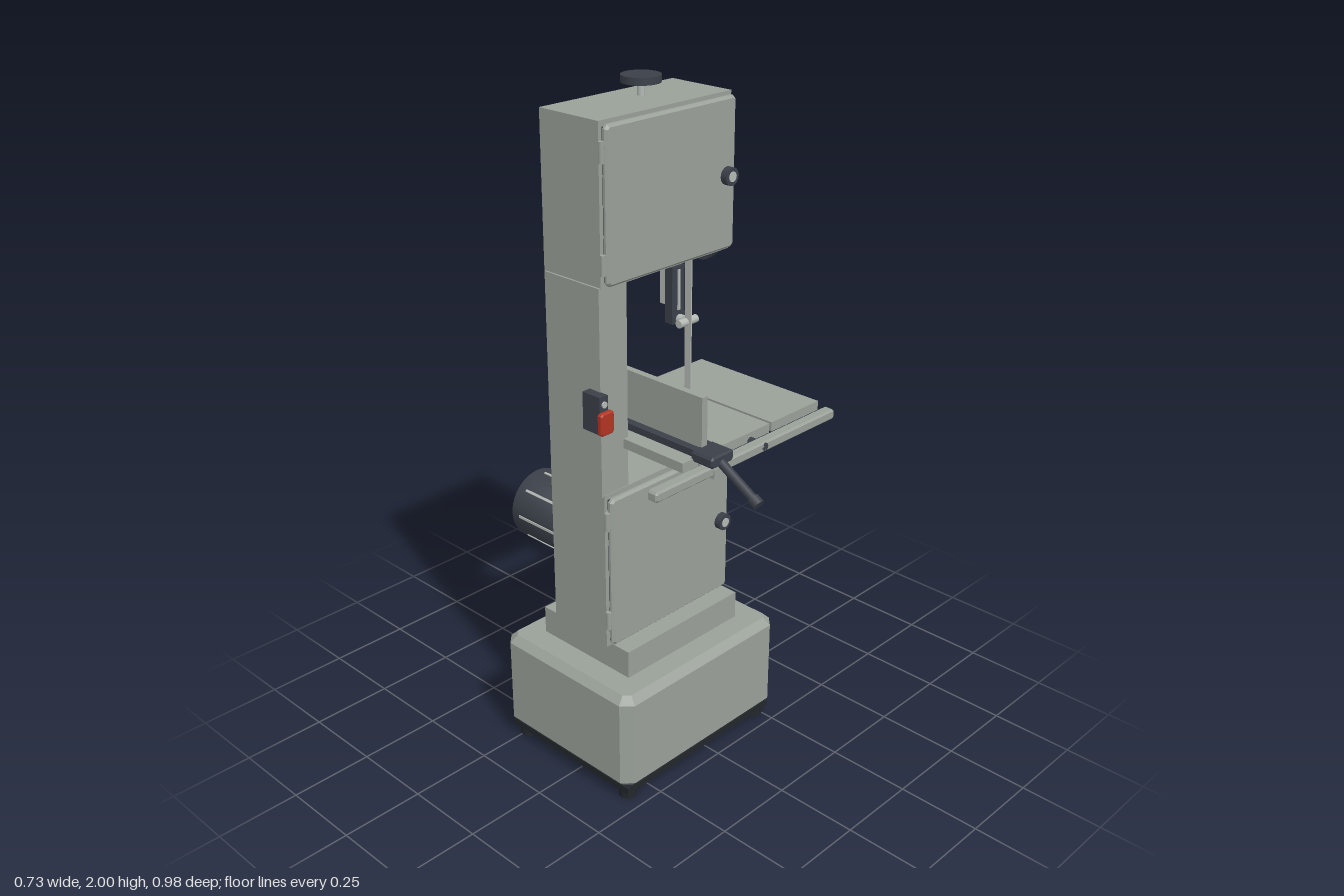
import * as THREE from 'three';

const mat = (name, color, side = THREE.FrontSide) => {
  const m = new THREE.MeshStandardMaterial({ color, side });
  m.name = name;
  return m;
};

export function createModel() {
  const root = new THREE.Group();
  root.name = 'bandSaw';
  const grey = mat('greyPaint', 0x9aa199);
  const dark = mat('darkPlastic', 0x3b4049);
  const black = mat('blackRubber', 0x23272b);
  const steel = mat('paleSteel', 0xb4b9b4);
  const red = mat('switchRed', 0xb23424);
  const darkOpen = mat('darkHose', 0x3b4049, THREE.DoubleSide);

  const add = (name, geo, m, x = 0, y = 0, z = 0) => {
    const mesh = new THREE.Mesh(geo, m);
    mesh.name = name;
    mesh.position.set(x, y, z);
    root.add(mesh);
    return mesh;
  };
  // box given by its limits on each axis
  const box = (name, m, [x0, x1], [y0, y1], [z0, z1]) =>
    add(name, new THREE.BoxGeometry(x1 - x0, y1 - y0, z1 - z0), m, (x0 + x1) / 2, (y0 + y1) / 2, (z0 + z1) / 2);
  // cylinder along an axis, centred on a point
  const cyl = (name, m, axis, r, len, x, y, z, sides = 32) => {
    const g = new THREE.CylinderGeometry(r, r, len, sides);
    if (axis === 'x') g.rotateZ(-Math.PI / 2);
    if (axis === 'z') g.rotateX(Math.PI / 2);
    return add(name, g, m, x, y, z);
  };
  // rectangle with cut corners
  const cutRect = (w, h, c) => new THREE.Shape([
    [-w + c, -h], [w - c, -h], [w, -h + c], [w, h - c], [w - c, h], [-w + c, h], [-w, h - c], [-w, -h + c],
  ].map(([x, y]) => new THREE.Vector2(x, y)));
  // chamfered slab extruded along z, or along y when upright
  const slab = (name, m, [x0, x1], [y0, y1], [z0, z1], bevel, cut, upright = false) => {
    const d = upright ? y1 - y0 : z1 - z0;
    const h = (upright ? z1 - z0 : y1 - y0) / 2;
    const g = new THREE.ExtrudeGeometry(cutRect((x1 - x0) / 2 - bevel, h - bevel, cut), {
      depth: d - 2 * bevel, bevelEnabled: true, bevelThickness: bevel, bevelSize: bevel, bevelSegments: 1,
    });
    g.translate(0, 0, bevel - d / 2);
    if (upright) g.rotateX(-Math.PI / 2);
    return add(name, g, m, (x0 + x1) / 2, (y0 + y1) / 2, (z0 + z1) / 2);
  };

  // base, feet and plinth
  slab('base', grey, [-0.365, 0.28], [0.045, 0.355], [-0.295, 0.23], 0.022, 0.018, true);
  box('basePlate', black, [-0.35, 0.265], [0.025, 0.046], [-0.28, 0.215]);
  for (const x of [-0.32, 0.235]) for (const z of [-0.245, 0.185]) cyl('foot', black, 'y', 0.027, 0.03, x, 0.015, z, 20);
  box('plinth', grey, [-0.27, 0.187], [0.35, 0.44], [-0.21, 0.142]);

  // cabinets with doors, knobs and hinges
  for (const [y0, y1, knobY, hinges] of [
    [0.435, 0.92, 0.682, [0.53, 0.845]],
    [1.51, 1.945, 1.727, [1.58, 1.87]],
  ]) {
    box('cabinet', grey, [-0.287, 0.2], [y0, y1], [-0.142, 0.072]);
    slab('door', grey, [-0.283, 0.197], [y0 + 0.01, y1 - 0.008], [0.075, 0.096], 0.007, 0.006);
    box('doorSeal', dark, [-0.275, 0.19], [y0 + 0.018, y1 - 0.016], [0.07, 0.077]);
    cyl('doorKnob', dark, 'z', 0.025, 0.02, 0.16, knobY, 0.108);
    cyl('knobCentre', steel, 'z', 0.014, 0.003, 0.16, knobY, 0.119);
    for (const y of hinges) cyl('hinge', grey, 'y', 0.008, 0.055, -0.289, y, 0.084, 12);
  }
  box('column', grey, [-0.293, -0.193], [0.915, 1.515], [-0.135, 0.07]);

  // tension wheel on top
  cyl('tensionScrew', steel, 'y', 0.01, 0.045, -0.011, 1.962, -0.054, 16);
  cyl('tensionWheel', dark, 'y', 0.054, 0.02, -0.011, 1.99, -0.054);

  // table, slotted from the blade to the front edge
  const top = new THREE.Shape([
    [-0.21, -0.29], [0.14, -0.29], [0.14, 0.035], [0.15, 0.035], [0.15, -0.29],
    [0.355, -0.29], [0.355, 0.163], [-0.21, 0.163],
  ].map(([x, y]) => new THREE.Vector2(x, y)));
  const tableGeo = new THREE.ExtrudeGeometry(top, { depth: 0.028, bevelEnabled: false });
  tableGeo.rotateX(-Math.PI / 2);
  add('table', tableGeo, grey, 0, 1.038, 0);
  slab('fenceRail', grey, [-0.365, 0.363], [1.025, 1.055], [0.31, 0.345], 0.005, 0.003);
  cyl('railBolt', dark, 'z', 0.012, 0.06, 0.06, 1.04, 0.315, 16);

  // fence with its clamp and lever
  box('fencePlate', grey, [-0.137, -0.116], [1.075, 1.23], [-0.137, 0.29]);
  for (const x of [-0.143, -0.108]) box('fenceBar', dark, [x - 0.018, x + 0.018], [1.066, 1.086], [-0.137, 0.3]);
  slab('fenceHead', dark, [-0.17, -0.083], [1.055, 1.088], [0.28, 0.357], 0.005, 0.004);
  box('fenceClamp', grey, [-0.15, -0.105], [1.018, 1.045], [0.25, 0.348]);
  const lever = new THREE.Group();
  lever.name = 'clampLever';
  const stem = new THREE.Mesh(new THREE.CylinderGeometry(0.013, 0.013, 0.15, 16), dark);
  stem.name = 'leverStem';
  const grip = new THREE.Mesh(new THREE.CylinderGeometry(0.017, 0.017, 0.025, 16), dark);
  grip.name = 'leverEnd';
  grip.position.y = 0.07;
  lever.add(stem, grip);
  lever.position.set(-0.127, 1.025, 0.413);
  lever.rotation.x = Math.PI / 2 + 0.53;
  root.add(lever);

  // trunnion carrying the table
  box('trunnionBar', dark, [-0.195, 0.12], [0.93, 0.962], [-0.152, -0.1]);
  for (const x of [-0.14, 0.057]) {
    box('trunnionPost', dark, [x - 0.02, x + 0.02], [0.95, 1.02], [-0.135, -0.057]);
    box('trunnionCap', dark, [x - 0.012, x + 0.012], [1.015, 1.04], [-0.135, -0.057]);
  }

  // blade with lower and upper guides
  box('blade', steel, [0.143, 0.147], [0.915, 1.515], [-0.036, -0.012]);
  const guide = (y) => {
    for (const s of [-1, 1]) cyl('guideBearing', steel, 'x', 0.012, 0.03, 0.145 + s * 0.021, y, -0.028, 16);
    cyl('backBearing', steel, 'z', 0.014, 0.025, 0.145, y, -0.053, 16);
    box('guideBlock', dark, [0.118, 0.172], [y - 0.012, y + 0.016], [-0.09, -0.06]);
  };
  guide(1.008);
  guide(1.282);
  box('lowerGuideArm', dark, [0.06, 0.145], [0.995, 1.02], [-0.1, -0.075]);
  box('guidePost', dark, [0.117, 0.168], [1.295, 1.44], [-0.09, -0.061]);
  box('guideRack', steel, [0.127, 0.159], [1.32, 1.515], [-0.119, -0.09]);
  box('guideStrip', steel, [0.138, 0.147], [1.31, 1.43], [-0.061, -0.057]);

  // guide height handwheel
  box('wheelBracket', dark, [0.14, 0.227], [1.483, 1.522], [-0.127, -0.073]);
  cyl('wheelShaft', steel, 'x', 0.011, 0.06, 0.25, 1.495, -0.1, 16);
  cyl('handwheel', dark, 'x', 0.067, 0.02, 0.28, 1.488, -0.1);
  cyl('wheelHandle', steel, 'x', 0.011, 0.04, 0.305, 1.535, -0.1, 16);

  // power switch on the column
  box('switchBody', dark, [-0.32, -0.29], [1.12, 1.228], [0.03, 0.095]);
  slab('stopPaddle', red, [-0.327, -0.278], [1.12, 1.185], [0.09, 0.108], 0.004, 0.004);
  cyl('startButton', steel, 'z', 0.009, 0.006, -0.305, 1.205, 0.097, 12);

  // motor with eight pale cooling ribs
  const motor = new THREE.Group();
  motor.name = 'motor';
  motor.position.set(-0.043, 0.61, 0);
  const profile = [[0, -0.492], [0.1, -0.492], [0.109, -0.484], [0.109, -0.215], [0, -0.215]];
  const shell = new THREE.LatheGeometry(profile.map(([r, y]) => new THREE.Vector2(r, y)), 40);
  shell.rotateX(Math.PI / 2);
  const body = new THREE.Mesh(shell, dark);
  body.name = 'motorBody';
  motor.add(body);
  for (let i = 0; i < 8; i++) {
    const a = (i * Math.PI) / 4;
    const rib = new THREE.Mesh(new THREE.BoxGeometry(0.008, 0.012, 0.21), steel);
    rib.name = 'motorRib';
    rib.position.set(Math.sin(a) * 0.106, Math.cos(a) * 0.106, -0.345);
    rib.rotation.z = -a;
    motor.add(rib);
  }
  root.add(motor);
  slab('motorMount', dark, [-0.135, 0.05], [0.53, 0.69], [-0.22, -0.14], 0.006, 0.015);

  // open dust port
  const port = new THREE.LatheGeometry(
    [[0.056, 0], [0.056, 0.15], [0.049, 0.15], [0.049, 0.003], [0, 0.003]].map(([r, y]) => new THREE.Vector2(r, y)), 32);
  port.rotateX(-Math.PI / 2);
  add('dustPort', port, darkOpen, 0.095, 0.83, -0.142);

  return root;
}
